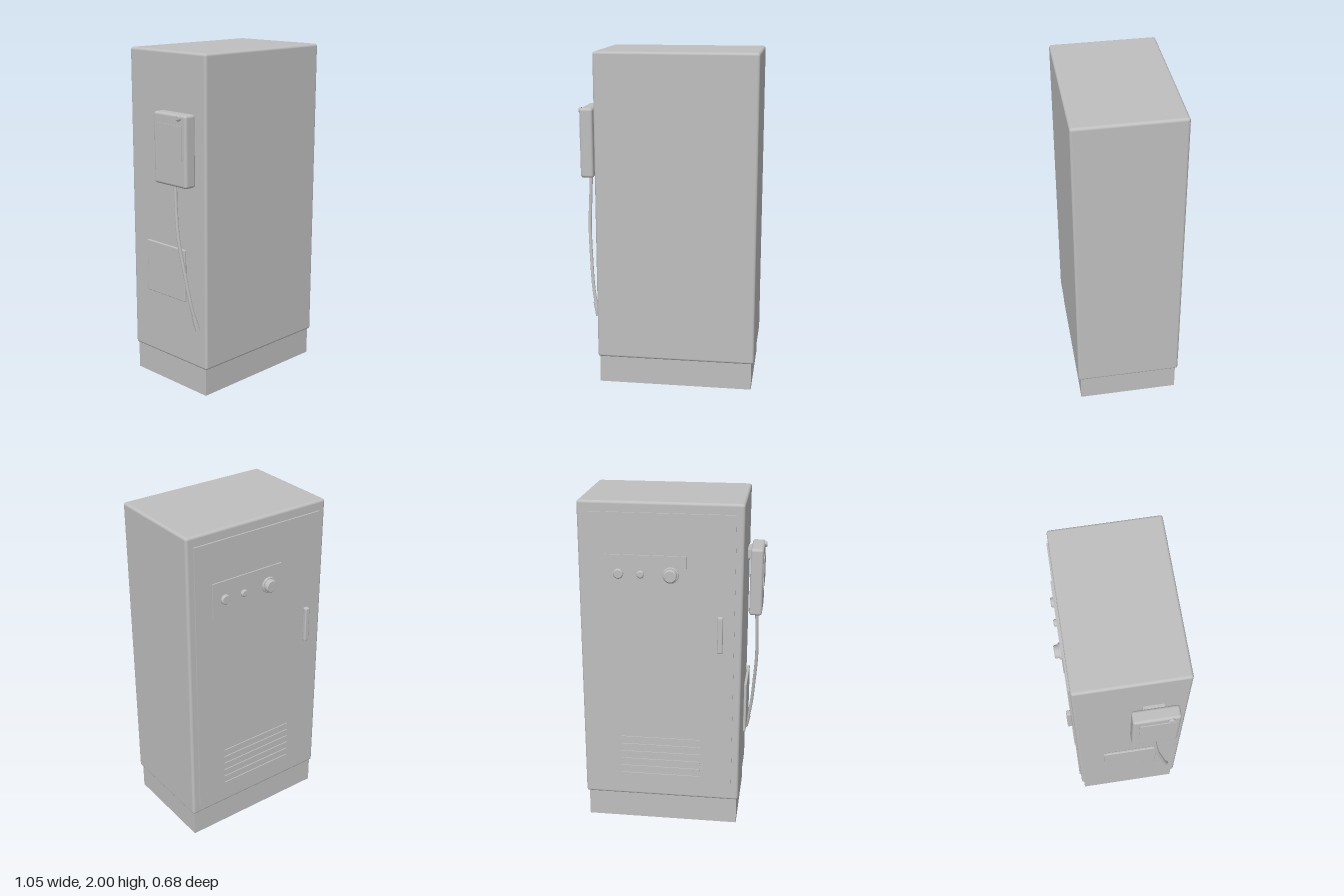
import * as THREE from 'three';
import { RoundedBoxGeometry } from 'three/addons/geometries/RoundedBoxGeometry.js';

export function createModel() {
  const model = new THREE.Group();
  model.name = 'controlCabinet';
  const grey = new THREE.MeshStandardMaterial({ color: 0xbfbfbf });
  grey.name = 'cabinet grey';

  const add = (name, geometry, parent = model) => {
    const mesh = new THREE.Mesh(geometry, grey);
    mesh.name = name;
    parent.add(mesh);
    return mesh;
  };
  // Box given by its limits on each axis, with optional rounded edges
  const box = (name, [x0, x1], [y0, y1], [z0, z1], radius = 0, parent = model) => {
    const size = [x1 - x0, y1 - y0, z1 - z0];
    const geometry = radius ? new RoundedBoxGeometry(...size, 3, radius) : new THREE.BoxGeometry(...size);
    const mesh = add(name, geometry, parent);
    mesh.position.set((x0 + x1) / 2, (y0 + y1) / 2, (z0 + z1) / 2);
    return mesh;
  };
  // Round control standing on the rear, with a bevelled outer rim
  const button = (name, x, y, radius, z0, z1, parent) => {
    const h = z0 - z1, b = Math.min(0.006, h / 3);
    const points = [[0, 0], [radius, 0], [radius, h - b], [radius - b, h], [0, h]]
      .map(([r, t]) => new THREE.Vector2(r, t));
    const geometry = new THREE.LatheGeometry(points, 32).toNonIndexed();
    geometry.computeVertexNormals();
    const mesh = add(name, geometry, parent);
    mesh.rotation.x = -Math.PI / 2;
    mesh.position.set(x, y, z0);
    return mesh;
  };

  // Cabinet body and plinth
  box('plinth', [-0.41, 0.51], [0, 0.17], [-0.275, 0.325]);
  box('cabinetBody', [-0.42, 0.525], [0.165, 2], [-0.29, 0.34], 0.016);

  // Rear door with its handle
  box('door', [-0.375, 0.48], [0.23, 1.94], [-0.299, -0.285]);
  box('doorHandle', [-0.311, -0.28], [1.135, 1.355], [-0.327, -0.297], 0.008);

  // Operating panel with two lamps and a main switch
  const panel = new THREE.Group();
  panel.name = 'operatingPanel';
  model.add(panel);
  box('panelPlate', [-0.1, 0.37], [1.48, 1.7], [-0.307, -0.298], 0, panel);
  button('largeLamp', 0.29, 1.59, 0.029, -0.306, -0.323, panel);
  button('smallLamp', 0.163, 1.59, 0.022, -0.306, -0.323, panel);
  button('switchBase', -0.01, 1.59, 0.047, -0.306, -0.318, panel);
  button('switchKnob', -0.01, 1.59, 0.038, -0.317, -0.343, panel);

  // Ventilation slats
  for (let i = 0; i < 6; i++) {
    const y = 0.315 + i * 0.049;
    box('ventSlat', [-0.185, 0.298], [y - 0.006, y + 0.006], [-0.305, -0.298]);
  }

  // Handheld control unit hung on the side
  const pendant = new THREE.Group();
  pendant.name = 'handheldUnit';
  model.add(pendant);
  box('bracket', [-0.448, -0.418], [1.595, 1.655], [0.085, 0.21], 0.004, pendant);
  box('unitCase', [-0.517, -0.44], [1.26, 1.67], [0.018, 0.283], 0.016, pendant);
  box('unitScreen', [-0.522, -0.515], [1.415, 1.61], [0.055, 0.255], 0, pendant);
  const stop = button('unitButton', 0, 0, 0.018, 0, -0.016, pendant);
  stop.rotation.set(0, 0, Math.PI / 2);
  stop.position.set(-0.514, 1.653, 0.228);

  // Cable hanging from the unit to a gland on the side
  const path = new THREE.CatmullRomCurve3([
    [-0.48, 1.28, 0.155], [-0.485, 1.12, 0.165], [-0.488, 0.95, 0.185],
    [-0.475, 0.75, 0.22], [-0.458, 0.57, 0.25], [-0.428, 0.41, 0.275],
  ].map((p) => new THREE.Vector3(...p)));
  add('cable', new THREE.TubeGeometry(path, 40, 0.01, 12));
  const end = new THREE.LineCurve3(new THREE.Vector3(-0.445, 0.49, 0.262), new THREE.Vector3(-0.427, 0.405, 0.276));
  add('cableGland', new THREE.TubeGeometry(end, 1, 0.014, 16));

  // Document holder plate on the side
  box('holderPlate', [-0.447, -0.431], [0.56, 0.875], [-0.135, 0.19], 0.005);
  box('holderMount', [-0.433, -0.418], [0.66, 0.78], [0.1, 0.16]);

  return model;
}
